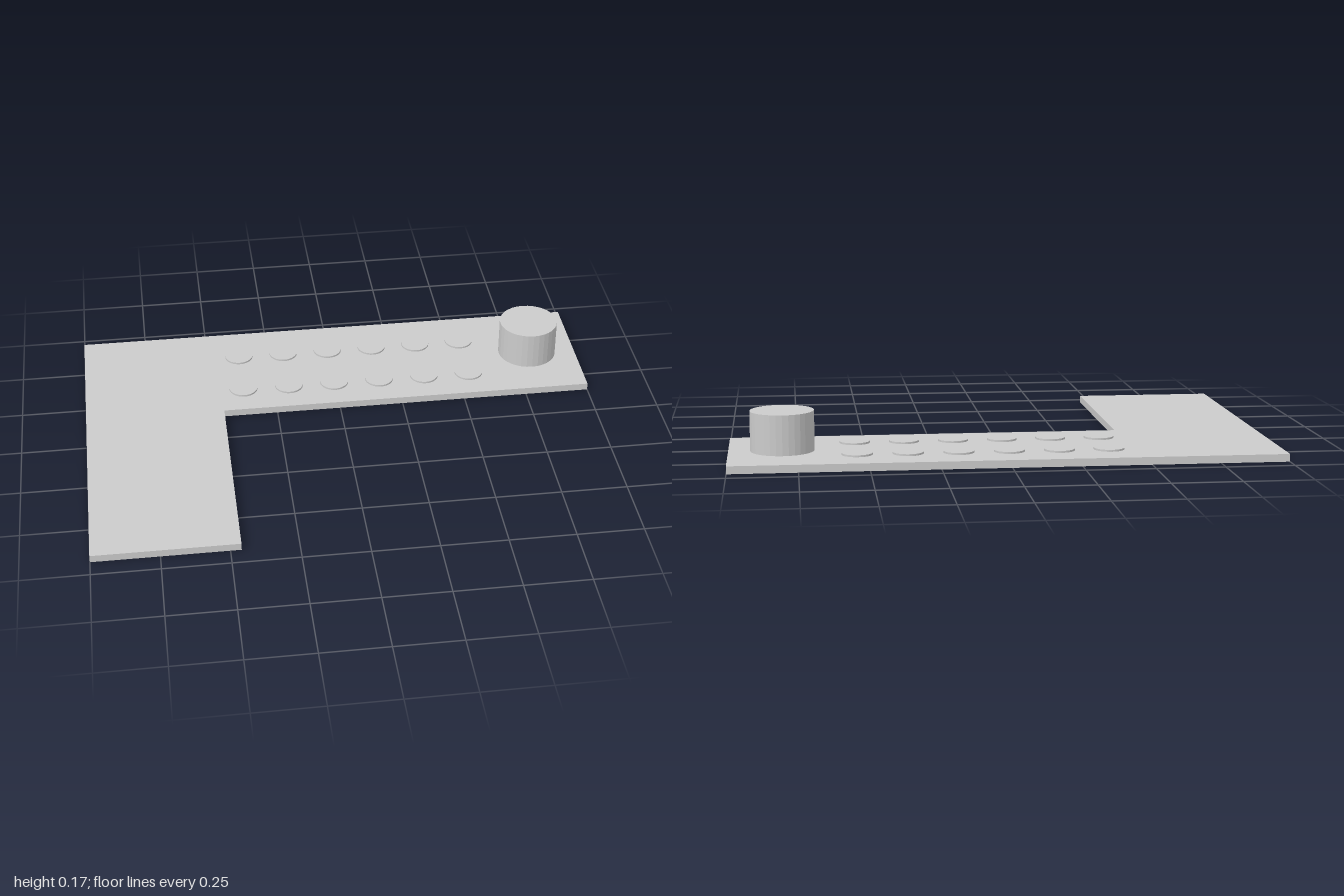
import * as THREE from 'three';

export function createModel() {
  const group = new THREE.Group();
  const material = new THREE.MeshStandardMaterial({ color: 0xcccccc, flatShading: true });
  const slabTop = 0.028;

  const add = (name, geometry, x = 0, y = 0, z = 0) => {
    const mesh = new THREE.Mesh(geometry, material);
    mesh.name = name;
    mesh.position.set(x, y, z);
    group.add(mesh);
  };

  // Flat L-shaped slab, outlined in (x, -z) and extruded upwards
  const outline = new THREE.Shape([
    [-1, -0.682], [-0.46, -0.682], [-0.46, 0.142], [1, 0.142], [1, 0.682], [-1, 0.682],
  ].map(([x, y]) => new THREE.Vector2(x, y)));
  const slab = new THREE.ExtrudeGeometry(outline, { depth: slabTop, bevelEnabled: false });
  slab.rotateX(-Math.PI / 2);
  add('slab', slab);

  // Upright round post near the end of the long arm
  const postHeight = 0.147;
  add('post', new THREE.CylinderGeometry(0.116, 0.116, postHeight, 32),
    0.805, slabTop + postHeight / 2, -0.405);

  // Two rows of six shallow studs along the long arm
  const studHeight = 0.007;
  const studGeometry = new THREE.CylinderGeometry(0.056, 0.056, studHeight, 32);
  for (const z of [-0.283, -0.514]) {
    for (let i = 0; i < 6; i++) {
      add('stud', studGeometry, -0.373 + i * 0.1825, slabTop + studHeight / 2, z);
    }
  }

  return group;
}
